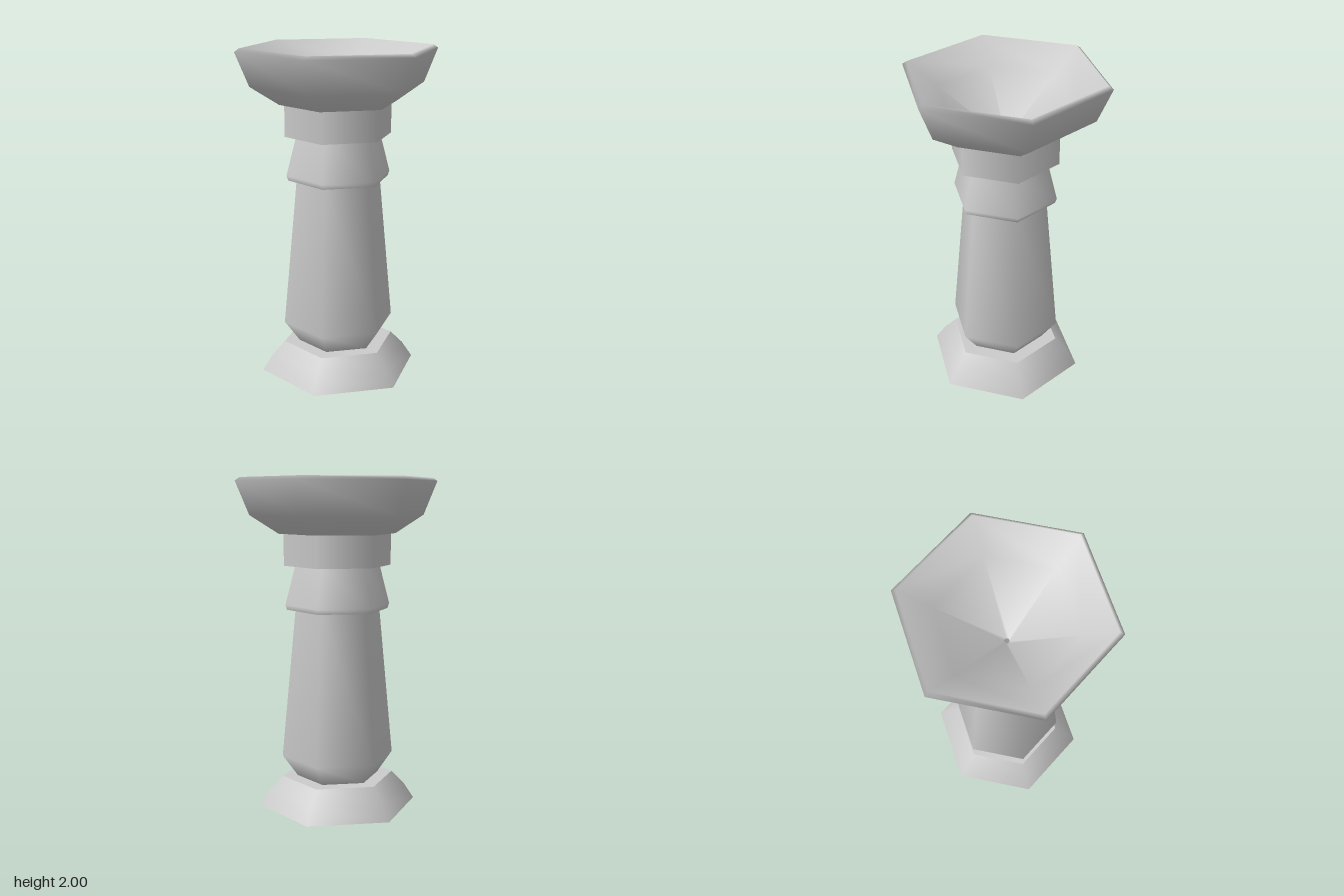
import * as THREE from 'three';

const SIDES = 6;
const material = new THREE.MeshStandardMaterial({ color: 0xcccccc, side: THREE.DoubleSide });

// Six-sided turned part from [radius, height] pairs, corners on the x axis.
function turned(name, profile) {
  const points = profile.map(([r, y]) => new THREE.Vector2(r, y));
  const mesh = new THREE.Mesh(new THREE.LatheGeometry(points, SIDES, Math.PI / 2), material);
  mesh.name = name;
  return mesh;
}

export function createModel() {
  const group = new THREE.Group();
  group.name = 'pedestalBowl';
  group.add(
    // Hollow flared foot, open underneath
    turned('foot', [[0.485, 0], [0.42, 0.1], [0.343, 0.18]]),
    turned('footTop', [[0.343, 0.18], [0.25, 0.18]]),
    // Tapering column shaft
    turned('column', [[0.25, 0.18], [0.343, 0.31], [0.257, 1.215]]),
    // Sloping ring under the collar
    turned('ringUnderside', [[0.257, 1.215], [0.308, 1.215]]),
    turned('ring', [[0.308, 1.215], [0.318, 1.245], [0.257, 1.48]]),
    // Straight collar
    turned('collarUnderside', [[0.257, 1.48], [0.325, 1.48]]),
    turned('collar', [[0.325, 1.48], [0.325, 1.67]]),
    // Bowl: outside, rim, inside down to a small drain hole
    turned('bowlUnderside', [[0.325, 1.67], [0.355, 1.67]]),
    turned('bowl', [
      [0.355, 1.67], [0.526, 1.78], [0.608, 1.98], [0.58, 2], [0.4, 1.87], [0.016, 1.6],
    ]),
  );
  return group;
}
